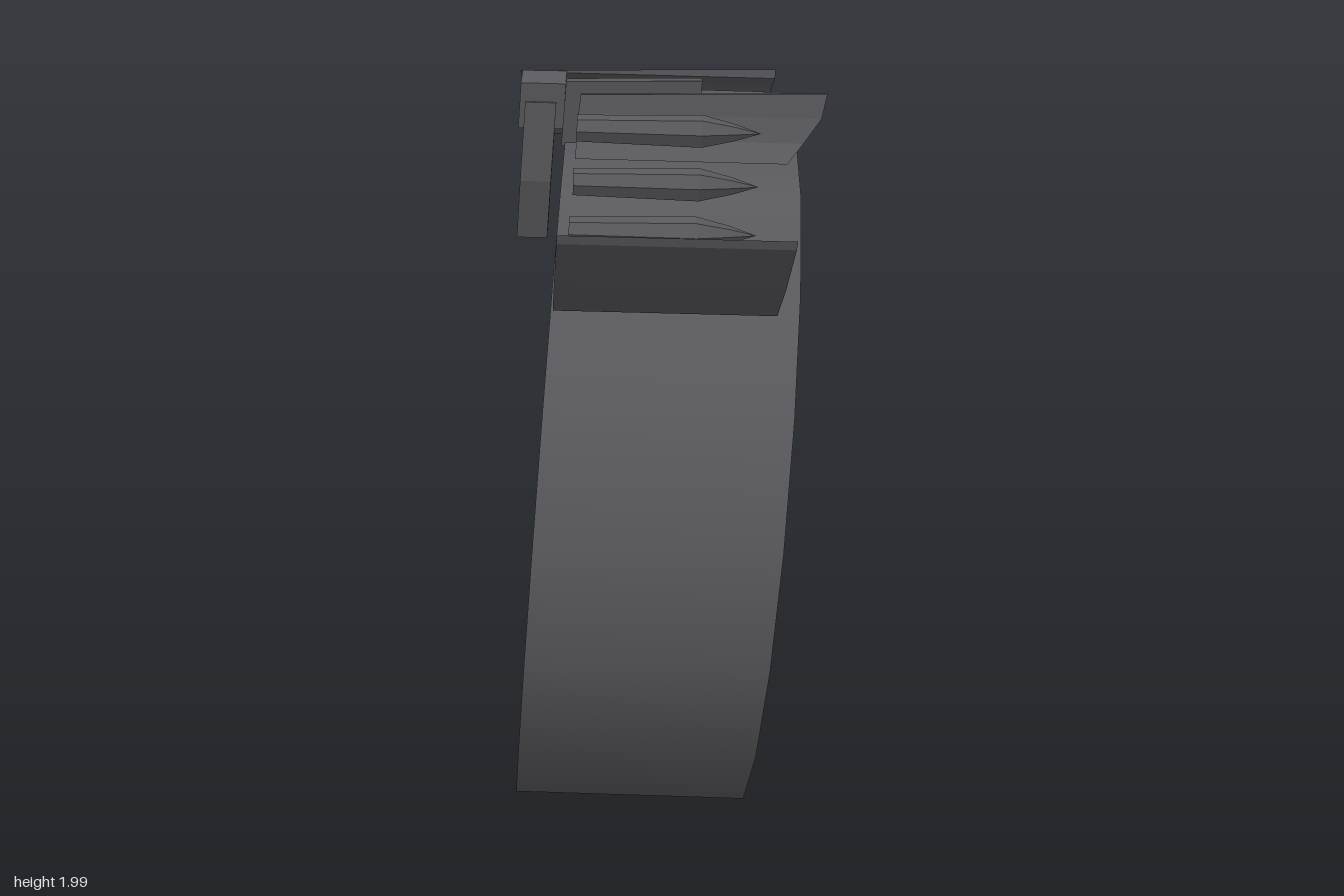
import * as THREE from 'three';

const gunmetal = new THREE.MeshStandardMaterial({ color: 0x59585c });
gunmetal.name = 'gunmetal';

const LEAN = 0.085; // sideways lean of the whole model
const DROP = 0.03;  // fall of the long axis towards +x
const TOP = 2;      // everything is cut off level at this height

function part(group, name, geometry) {
  const mesh = new THREE.Mesh(geometry, gunmetal);
  mesh.name = name;
  group.add(mesh);
}

// Solid with a [z, y] outline, spanning left(y, z) to right(y, z) along x
function solid(outline, left, right) {
  const shape = new THREE.Shape(outline.map(([z, y]) => new THREE.Vector2(-z, y)));
  const g = new THREE.ExtrudeGeometry(shape, { depth: 1, bevelEnabled: false });
  g.rotateY(Math.PI / 2);
  const p = g.attributes.position;
  for (let i = 0; i < p.count; i++) {
    const t = p.getX(i), y = p.getY(i), z = p.getZ(i);
    const x = THREE.MathUtils.lerp(left(y, z), right(y, z), t);
    p.setXYZ(i, x, Math.min(TOP, y - DROP * x), z);
  }
  g.computeVertexNormals();
  return g;
}

// Bent sheet: a [z, y] line thickened by an offset
function sheet(line, [dz, dy], left, right) {
  const back = line.map(([z, y]) => [z + dz, y + dy]).reverse();
  return solid([...line, ...back], left, right);
}

// Leaning side edge that passes through x at height y0
const edge = (x, y0) => (y) => x + LEAN * (y - y0);

export function createModel() {
  const model = new THREE.Group();
  model.name = 'drumMagazine';

  // Leaning eighteen-sided drum
  const drum = new THREE.CylinderGeometry(1, 1, 1, 18, 1, false,
    THREE.MathUtils.degToRad(3.1 - 90));
  const skew = new THREE.Matrix4().makeBasis(
    new THREE.Vector3(-LEAN * 0.913, -0.913, 0),
    new THREE.Vector3(0.595, -0.02, 0.01),
    new THREE.Vector3(0, 0, 0.895));
  skew.setPosition(-0.03, 0.9275, -0.065);
  drum.applyMatrix4(skew);
  part(model, 'drum', drum);

  // Front flap
  part(model, 'frontFlap', sheet([[0.945, 1.83], [0.785, 1.69], [0.625, 1.58]],
    [-0.008, -0.022], edge(-0.268, 1.56), edge(0.265, 1.56)));

  // Row of cartridges climbing over the drum
  const rounds = [[0.59, 1.62], [0.49, 1.72], [0.39, 1.815], [0.315, 1.93]];
  rounds.forEach(([z, y], i) => {
    const profile = [[0, -0.225], [0.034, -0.225], [0.042, 0.08], [0.022, 0.16], [0, 0.225]]
      .map(([r, h]) => new THREE.Vector2(r, h));
    const g = new THREE.LatheGeometry(profile, 7).toNonIndexed();
    g.computeVertexNormals();
    g.rotateZ(-Math.PI / 2 - DROP);
    g.translate(-0.015 + i * 0.009, y, z);
    part(model, 'cartridge' + (i + 1), g);
  });

  // Upright feed plate with a rounded right-hand corner
  const corner = (y) => 0.405 - 0.105 * Math.pow(Math.max(0, (1.98 - y) / 0.14), 1.3);
  part(model, 'feedPlate', sheet([[0.2, 2.02], [0.205, 1.95], [0.22, 1.89], [0.255, 1.845]],
    [0.015, 0], edge(-0.215, 1.9), corner));

  // Slanted follower block
  part(model, 'followerBlock', solid([[0.05, 2.01], [0.01, 2.01], [-0.06, 1.82], [0.025, 1.82]],
    edge(-0.25, 1.95), edge(0.095, 1.95)));

  // Rear cover plate, narrowing towards its back edge
  part(model, 'rearPlate', sheet(
    [[-0.1, 2.01], [-0.14, 1.98], [-0.21, 1.89], [-0.32, 1.84], [-0.44, 1.785]], [0, -0.025],
    (y, z) => (z > -0.33 ? -0.365 + (-0.12 - z) * 0.09 : -0.346 + (-0.33 - z) * 0.42),
    (y, z) => 0.29 + (z + 0.12) * 0.16));

  // Hinge bar below the rear plate
  part(model, 'hingeBar', solid([[-0.1, 1.95], [-0.155, 1.9], [-0.075, 1.83], [-0.05, 1.86]],
    edge(-0.28, 1.9), edge(0.26, 1.9)));

  // Hanging lever and its pivot on the right side
  part(model, 'leverPivot', solid([[-0.03, 1.97], [-0.1, 1.99], [-0.1, 1.86], [-0.04, 1.85]],
    edge(-0.365, 1.95), edge(-0.25, 1.95)));
  part(model, 'lever', sheet([[-0.03, 1.92], [-0.04, 1.71], [-0.09, 1.545]], [-0.05, 0.01],
    edge(-0.385, 1.55), edge(-0.305, 1.55)));

  return model;
}
